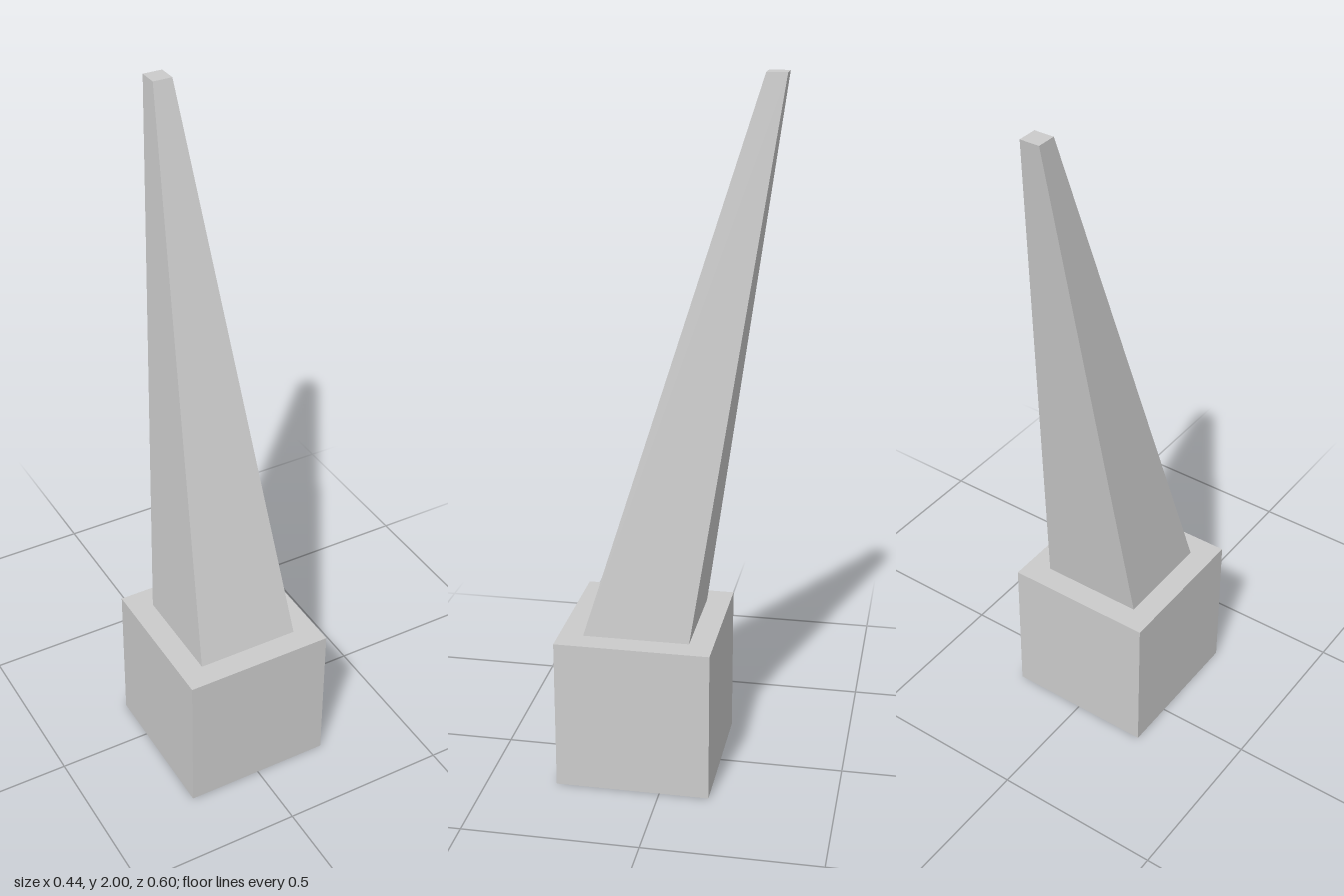
import * as THREE from 'three';

const BASE = 0.442; // side of the cubic base
const BASE_Z = 0.079; // base sits forward of the origin
const HEIGHT = 2;

export function createModel() {
  const model = new THREE.Group();
  model.name = 'leaningSpike';
  const material = new THREE.MeshStandardMaterial({ color: 0xcccccc, flatShading: true });

  // Cubic base
  const base = new THREE.Mesh(new THREE.BoxGeometry(BASE, BASE, BASE), material);
  base.name = 'base';
  base.position.set(0, BASE / 2, BASE_Z);
  model.add(base);

  // Square spike: a unit box tapered towards its top and sheared backwards
  const bottomWidth = 0.304, topWidth = 0.056, topZ = -0.273;
  const geometry = new THREE.BoxGeometry(1, 1, 1);
  const pos = geometry.attributes.position;
  for (let i = 0; i < pos.count; i++) {
    const t = pos.getY(i) + 0.5;
    const width = THREE.MathUtils.lerp(bottomWidth, topWidth, t);
    pos.setXYZ(
      i,
      pos.getX(i) * width,
      THREE.MathUtils.lerp(BASE, HEIGHT, t),
      pos.getZ(i) * width + THREE.MathUtils.lerp(BASE_Z, topZ, t),
    );
  }
  geometry.computeVertexNormals();
  const spike = new THREE.Mesh(geometry, material);
  spike.name = 'spike';
  model.add(spike);

  return model;
}
